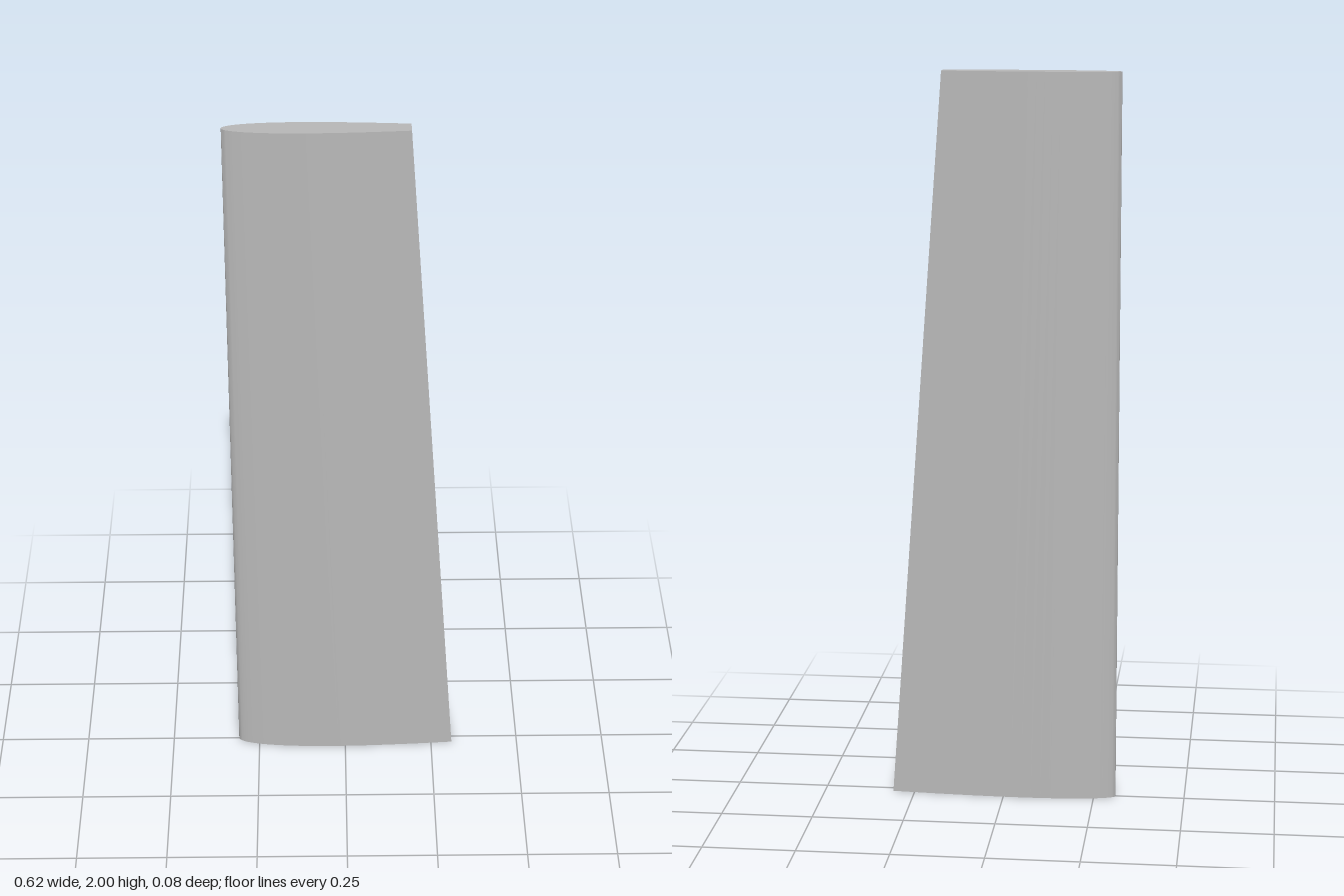
import * as THREE from 'three';
import { toCreasedNormals } from 'three/addons/utils/BufferGeometryUtils.js';

const HEIGHT = 2, ROOT = 0.62, TIP = 0.476; // chord lengths at bottom and top
const FULL = 0.89;       // length the aerofoil would have without its cut-off tail
const THICK = 0.079;     // greatest thickness at the root

// Half thickness of the aerofoil at distance d behind the leading edge
function halfThickness(d) {
  const s = d / FULL;
  return 5 * THICK * (0.2969 * Math.sqrt(s) - 0.126 * s - 0.3516 * s ** 2 + 0.2843 * s ** 3 - 0.1015 * s ** 4);
}

export function createModel() {
  const model = new THREE.Group();
  const grey = new THREE.MeshStandardMaterial({ color: 0xb8b8b8 });
  grey.name = 'grey';

  // Section: one side from tail to nose, the other back again, points packed at the nose
  const n = 28, points = [];
  for (let i = -n; i <= n; i++) {
    const d = ROOT * (1 - Math.cos((Math.abs(i) / n) * Math.PI / 2));
    points.push(new THREE.Vector2(d, -Math.sign(i) * halfThickness(d)));
  }

  // Extrude upward, then shrink towards the tip with the leading edge kept upright
  const geometry = new THREE.ExtrudeGeometry(new THREE.Shape(points), { depth: HEIGHT, bevelEnabled: false });
  geometry.rotateX(-Math.PI / 2);
  const p = geometry.attributes.position;
  for (let i = 0; i < p.count; i++) {
    const k = THREE.MathUtils.lerp(1, TIP / ROOT, p.getY(i) / HEIGHT);
    p.setX(i, p.getX(i) * k - ROOT / 2);
    p.setZ(i, p.getZ(i) * k);
  }

  const blade = new THREE.Mesh(toCreasedNormals(geometry, 0.7), grey);
  blade.name = 'taperedBlade';
  model.add(blade);
  return model;
}
